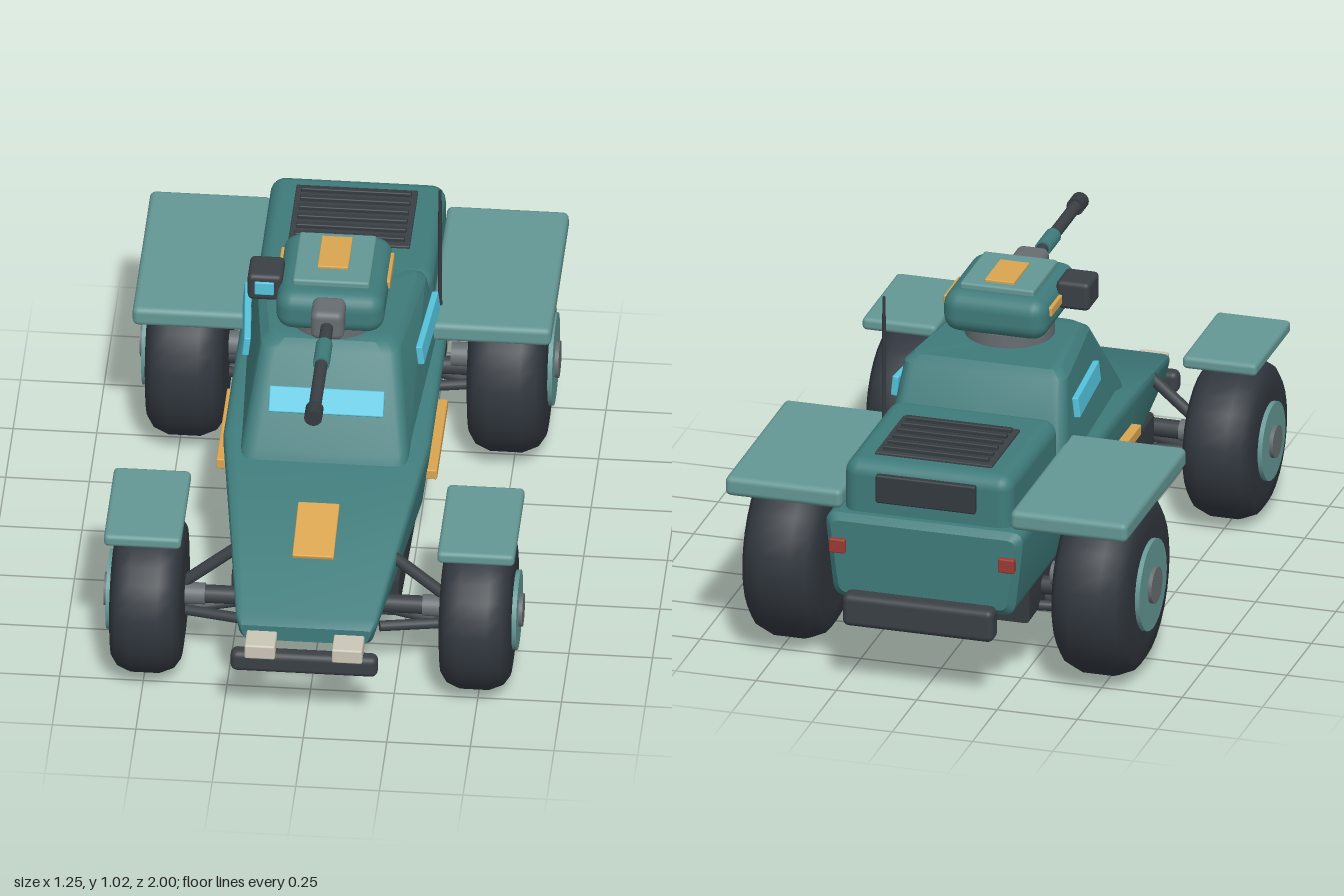
import * as THREE from 'three';
import { toCreasedNormals } from 'three/addons/utils/BufferGeometryUtils.js';
import { RoundedBoxGeometry } from 'three/addons/geometries/RoundedBoxGeometry.js';

const paint = (color) => new THREE.MeshStandardMaterial({ color });
const TEAL = paint(0x3f7b7b), PALE = paint(0x649794), DARK = paint(0x3a4045), TYRE = paint(0x30363d),
  FLOOR = paint(0x343a3f), STEEL = paint(0x666d71), AMBER = paint(0xd9a550), GLASS = paint(0x55c4dd),
  LAMP = paint(0xcbc6b6), RED = paint(0x9a3a34);

// Rounded outline through counter-clockwise corners
function roundedRing(corners, r) {
  const out = [];
  corners.forEach(([x, y], i) => {
    const c = new THREE.Vector2(x, y), n = corners.length;
    const toward = (p) => {
      const d = new THREE.Vector2(...p).sub(c);
      return d.multiplyScalar(Math.min(r, d.length() * 0.45) / d.length()).add(c);
    };
    const curve = new THREE.QuadraticBezierCurve(
      toward(corners[(i + n - 1) % n]), c, toward(corners[(i + 1) % n]));
    out.push(...curve.getPoints(4));
  });
  return out;
}

// Skin over stations { at, ring } along +z, closed at both ends
function loft(stations) {
  const pos = [], idx = [], n = stations[0].ring.length;
  stations.forEach(({ at, ring }) => ring.forEach((p) => pos.push(p.x, p.y, at)));
  for (let s = 0; s < stations.length - 1; s++) {
    for (let i = 0; i < n; i++) {
      const j = (i + 1) % n, a = s * n + i, b = s * n + j;
      idx.push(a, b, b + n, a, b + n, a + n);
    }
  }
  const last = (stations.length - 1) * n;
  for (let i = 1; i < n - 1; i++) {
    idx.push(0, i + 1, i, last, last + i, last + i + 1);
  }
  const geo = new THREE.BufferGeometry();
  geo.setAttribute('position', new THREE.Float32BufferAttribute(pos, 3));
  geo.setIndex(idx);
  return toCreasedNormals(geo, 0.6);
}

export function createModel() {
  const model = new THREE.Group();

  const add = (name, geo, mat, x = 0, y = 0, z = 0, parent = model) => {
    const mesh = new THREE.Mesh(geo, mat);
    mesh.name = name;
    mesh.position.set(x, y, z);
    parent.add(mesh);
    return mesh;
  };
  // Soft-edged box given by its extents on each axis
  const box = (name, mat, [x0, x1], [y0, y1], [z0, z1], r = 0.012, parent = model) => {
    const w = x1 - x0, h = y1 - y0, d = z1 - z0;
    const geo = new RoundedBoxGeometry(w, h, d, 3, Math.min(r, Math.min(w, h, d) * 0.45));
    return add(name, geo, mat, (x0 + x1) / 2, (y0 + y1) / 2, (z0 + z1) / 2, parent);
  };
  // Round bar between two points
  const rod = (name, mat, from, to, r, r2 = r) => {
    const a = new THREE.Vector3(...from), b = new THREE.Vector3(...to), d = b.clone().sub(a);
    const mesh = add(name, new THREE.CylinderGeometry(r2, r, d.length(), 16), mat);
    mesh.position.copy(a).add(b).multiplyScalar(0.5);
    mesh.quaternion.setFromUnitVectors(new THREE.Vector3(0, 1, 0), d.normalize());
    return mesh;
  };

  // Hull: [z, top half width, bottom half width, bottom y, top y, corner radius]
  const hull = [
    [-0.94, 0.29, 0.26, 0.30, 0.53, 0.03], [-0.92, 0.31, 0.28, 0.28, 0.55, 0.04],
    [0.20, 0.315, 0.28, 0.28, 0.545, 0.04], [0.89, 0.215, 0.195, 0.285, 0.372, 0.025],
    [0.92, 0.20, 0.18, 0.30, 0.35, 0.018],
  ].map(([at, t, b, y0, y1, r]) => ({ at, ring: roundedRing([[-b, y0], [b, y0], [t, y1], [-t, y1]], r) }));
  add('hull', loft(hull), TEAL);

  // Dark belly tub, narrowing forward
  const tub = [[-0.75, 0.275], [0.6, 0.25]].map(([at, w]) => (
    { at, ring: roundedRing([[-w, 0.185], [w, 0.185], [w, 0.31], [-w, 0.31]], 0.015) }));
  add('bellyTub', loft(tub), FLOOR);

  // Cabin: [y, rear z, front z, rear half width, front half width]
  const cabin = [
    [0.52, -0.42, 0.31, 0.287, 0.25], [0.55, -0.415, 0.295, 0.285, 0.247],
    [0.79, -0.32, 0.115, 0.258, 0.204], [0.812, -0.295, 0.085, 0.235, 0.18],
  ].map(([at, zb, zf, wb, wf]) => (
    { at, ring: roundedRing([[-wf, -zf], [wf, -zf], [wb, -zb], [-wb, -zb]], 0.045) }));
  add('cabin', loft(cabin).rotateX(-Math.PI / 2), TEAL);

  // Windscreen and nose hatch follow the slopes they sit on
  box('windscreen', GLASS, [-0.172, 0.172], [0.632, 0.71], [0.195, 0.217], 0.004).rotation.x = -0.64;
  box('noseHatch', AMBER, [-0.062, 0.062], [0.445, 0.465], [0.465, 0.675], 0.004).rotation.x = 0.255;

  // Engine deck with louvred grille and rear vent
  box('engineDeck', TEAL, [-0.262, 0.262], [0.5, 0.71], [-0.9, -0.4], 0.045);
  box('grille', DARK, [-0.182, 0.182], [0.7, 0.718], [-0.83, -0.54], 0.004);
  for (let i = 0; i < 6; i++) {
    const z = -0.8 + i * 0.046;
    box('grilleSlat', FLOOR, [-0.165, 0.165], [0.712, 0.731], [z - 0.009, z + 0.009], 0.004);
  }
  box('rearVent', FLOOR, [-0.155, 0.155], [0.59, 0.68], [-0.915, -0.88], 0.006);

  // Bumpers
  box('frontBumper', DARK, [-0.22, 0.22], [0.222, 0.292], [0.935, 0.985], 0.02);
  box('rearBumper', DARK, [-0.235, 0.235], [0.215, 0.318], [-1, -0.935], 0.02);

  // Turret
  add('turretRing', new THREE.CylinderGeometry(0.135, 0.135, 0.042, 32), STEEL, 0, 0.831, -0.05);
  box('turret', TEAL, [-0.162, 0.162], [0.858, 0.99], [-0.232, 0.13], 0.05);
  box('turretHatch', PALE, [-0.115, 0.115], [0.985, 1.01], [-0.185, 0.065], 0.008);
  box('hatchPanel', AMBER, [-0.046, 0.046], [1, 1.018], [-0.158, 0], 0.003);
  box('mantlet', STEEL, [-0.05, 0.05], [0.888, 0.986], [0.1, 0.202], 0.022);
  rod('barrel', DARK, [0, 0.938, 0.19], [0, 0.938, 0.64], 0.019);
  rod('barrelSleeve', TEAL, [0, 0.938, 0.285], [0, 0.938, 0.39], 0.025);
  rod('muzzle', FLOOR, [0, 0.938, 0.615], [0, 0.938, 0.668], 0.027);
  box('sightHousing', DARK, [-0.252, -0.148], [0.91, 1], [-0.07, 0.043], 0.015);
  box('sightLens', GLASS, [-0.23, -0.172], [0.935, 0.98], [0.03, 0.049], 0.004);

  rod('antenna', FLOOR, [0.285, 0.54, -0.4], [0.285, 1.03, -0.4], 0.007, 0.005);

  // Tyre, rim disc and cap, axis along +x
  const wheel = (name, side, r, y, z, inner, hubR, capR) => {
    const group = new THREE.Group();
    group.name = name;
    const w = (0.6 - inner) / 2;
    const profile = [[0, -w], [r * 0.62, -w], [r * 0.82, -w * 0.95], [r * 0.93, -w * 0.78], [r, -w * 0.4],
      [r, w * 0.4], [r * 0.93, w * 0.78], [r * 0.82, w * 0.95], [r * 0.62, w], [0, w]]
      .map((p) => new THREE.Vector2(...p));
    const tyre = new THREE.LatheGeometry(profile, 28).rotateZ(-Math.PI / 2);
    add('tyre', tyre, TYRE, 0, 0, 0, group);
    const disc = (part, mat, rad, x, h) => add(part, new THREE.CylinderGeometry(rad, rad, h, 28)
      .rotateZ(-Math.PI / 2), mat, x, 0, 0, group);
    disc('rim', PALE, hubR, w, 0.028);
    disc('hubCap', STEEL, capR, w + 0.008, 0.036);
    disc('innerHub', STEEL, capR * 0.65, -w - 0.02, 0.08);
    group.position.set(side * (0.6 - w), y, z);
    if (side < 0) group.rotation.y = Math.PI;
    model.add(group);
  };

  for (const s of [1, -1]) {
    const span = (a, b) => (s > 0 ? [a, b] : [-b, -a]);
    const tag = s > 0 ? 'left' : 'right';

    wheel(tag + 'FrontWheel', s, 0.244, 0.25, 0.63, 0.385, 0.12, 0.05);
    wheel(tag + 'RearWheel', s, 0.284, 0.292, -0.6, 0.362, 0.14, 0.056);

    box(tag + 'FrontFender', PALE, span(0.383, 0.614), [0.53, 0.57], [0.448, 0.81], 0.014);
    box(tag + 'RearFender', PALE, span(0.262, 0.626), [0.552, 0.614], [-0.912, -0.292], 0.018);

    // Suspension
    rod(tag + 'FrontStrut', DARK, [s * 0.235, 0.415, 0.62], [s * 0.4, 0.275, 0.62], 0.018);
    for (const z of [0.63, -0.6]) {
      rod(tag + 'AxleShaft', DARK, [s * 0.2, 0.25, z], [s * 0.4, 0.25, z], 0.028);
      rod(tag + 'LowerArm', DARK, [s * 0.2, 0.2, z - 0.05], [s * 0.4, 0.19, z], 0.016);
      rod(tag + 'LowerArm', DARK, [s * 0.2, 0.2, z + 0.05], [s * 0.4, 0.19, z], 0.016);
    }

    // Side glass leans with the cabin wall
    const glass = box(tag + 'Window', GLASS, span(0.261, 0.281), [0.668, 0.732], [-0.302, -0.01], 0.004);
    glass.rotation.z = s * 0.11;
    glass.rotation.y = s * -0.08;

    box(tag + 'HullStripe', AMBER, span(0.285, 0.33), [0.408, 0.442], [-0.157, 0.21], 0.004);
    box(tag + 'TurretStripe', AMBER, span(0.15, 0.169), [0.928, 0.957], [-0.175, -0.025], 0.004);
    box(tag + 'Headlight', LAMP, span(0.085, 0.176), [0.284, 0.332], [0.9, 1], 0.006);
    box(tag + 'TailLight', RED, span(0.238, 0.288), [0.43, 0.475], [-0.955, -0.92], 0.005);
  }
  return model;
}
